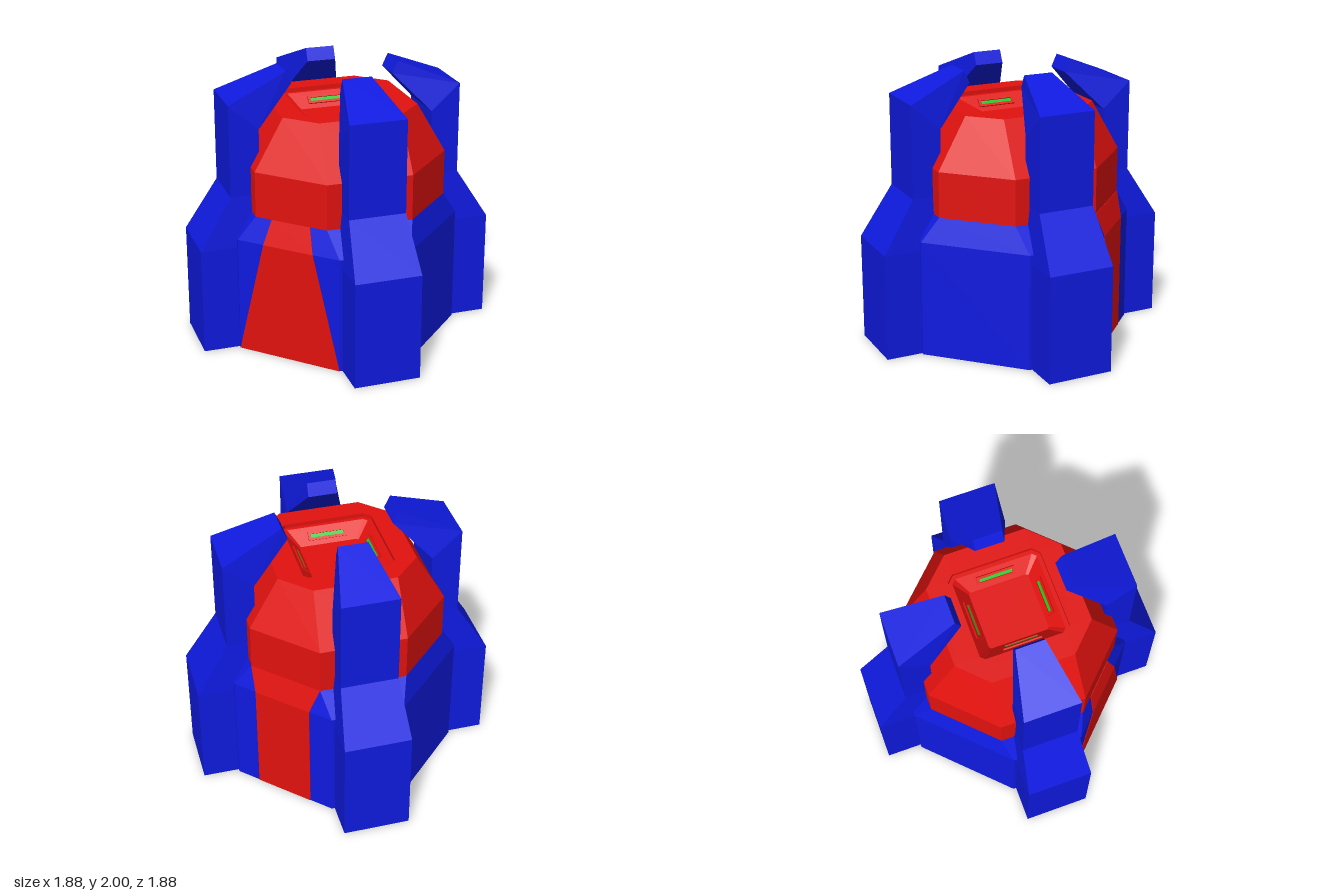
import * as THREE from 'three';

const mat = (color) => new THREE.MeshStandardMaterial({ color, flatShading: true, side: THREE.DoubleSide });
const blue = mat(0x0f1ae0), red = mat(0xe3120f), green = mat(0x18c818);

// Skin a stack of cross-sections, each a loop of [x, y, z] running from +x towards +z
function loft(rings, capBottom, capTop) {
  const pos = [];
  const tri = (a, b, c) => pos.push(...a, ...b, ...c);
  const n = rings[0].length;
  for (let k = 0; k < rings.length - 1; k++) {
    const a = rings[k], b = rings[k + 1];
    for (let i = 0; i < n; i++) {
      const j = (i + 1) % n;
      tri(a[i], b[i], b[j]);
      tri(a[i], b[j], a[j]);
    }
  }
  const first = rings[0], last = rings[rings.length - 1];
  for (let i = 1; i < n - 1; i++) {
    if (capBottom) tri(first[0], first[i], first[i + 1]);
    if (capTop) tri(last[0], last[i + 1], last[i]);
  }
  const geo = new THREE.BufferGeometry();
  geo.setAttribute('position', new THREE.Float32BufferAttribute(pos, 3));
  geo.computeVertexNormals();
  return geo;
}

// Eight-sided section: flats at distance a, each flat of half-width c
const octagon = ([c, a, y]) =>
  [[a, c], [c, a], [-c, a], [-a, c], [-a, -c], [-c, -a], [c, -a], [a, -c]].map(([x, z]) => [x, y, z]);

function add(parent, name, geo, material) {
  const mesh = new THREE.Mesh(geo, material);
  mesh.name = name;
  parent.add(mesh);
  return mesh;
}

// Thin panel lying on one body face; rows are [halfWidth, y, z]
function panel(rows) {
  const rings = rows.map(([w, y, z]) => [[w, y, z - 0.01], [w, y, z + 0.004], [-w, y, z + 0.004], [-w, y, z - 0.01]]);
  return loft(rings, true, true);
}

export function createModel() {
  const model = new THREE.Group();
  model.name = 'model';

  // Lower body: open skirt with a recessed floor
  add(model, 'lowerBody', loft([[0.4, 0.77, 0], [0.4, 0.77, 0.85], [0.28, 0.72, 1.03]].map(octagon)), blue);
  add(model, 'recessedFloor', loft([[0.4, 0.765, 0.18], [0.4, 0.765, 0.2]].map(octagon), true, true), blue);

  // Upper body: sloped shoulders, flat top and a diamond-shaped basin
  add(model, 'upperBody', loft([
    [0.28, 0.72, 1.03], [0.28, 0.72, 1.36], [0.14, 0.56, 1.73],
    [0.035, 0.445, 1.73], [0.035, 0.445, 1.7], [0.02, 0.42, 1.7], [0.01, 0.3, 1.6],
  ].map(octagon), false, true), red);

  // Coloured panels on the front and back faces
  add(model, 'frontPanel', panel([[0.4, 0, 0.77], [0.194, 0.85, 0.77], [0.15, 1.03, 0.72]]), red);
  add(model, 'backPanel', panel([[0.22, 0, 0.77], [0.22, 0.85, 0.77], [0.28, 1.03, 0.72]]), red).rotation.y = Math.PI;

  // Corner pillar: [outer radius, outer y, inner radius, inner y, outer half-width, inner half-width]
  const pillarGeo = loft([
    [1.09, 0, 0.54, 0, 0.24, 0.24],
    [1.09, 0.78, 0.6, 0.78, 0.24, 0.24],
    [0.856, 1.15, 0.643, 1.15, 0.205, 0.205],
    [0.856, 1.82, 0.643, 1.63, 0.205, 0.205],
    [0.417, 2, 0.375, 1.91, 0.106, 0.106],
  ].map(([ro, yo, ri, yi, wo, wi]) => [[wi, yi, ri], [wo, yo, ro], [-wo, yo, ro], [-wi, yi, ri]]), true, true);

  // Slot frame for the basin walls
  const frame = new THREE.Shape([[-0.14, -0.032], [0.14, -0.032], [0.14, 0.032], [-0.14, 0.032]].map((p) => new THREE.Vector2(...p)));
  frame.holes.push(new THREE.Path([[-0.12, -0.014], [-0.12, 0.014], [0.12, 0.014], [0.12, -0.014]].map((p) => new THREE.Vector2(...p))));
  const frameGeo = new THREE.ExtrudeGeometry(frame, { depth: 0.012, bevelEnabled: false });

  for (let i = 0; i < 4; i++) {
    const corner = new THREE.Group();
    corner.name = 'corner';
    corner.rotation.y = Math.PI / 4 + i * Math.PI / 2;
    model.add(corner);
    add(corner, 'pillar', pillarGeo, blue);

    // Slot with a light strip, lying on the sloped basin wall
    const slot = new THREE.Group();
    slot.name = 'slot';
    slot.position.set(0, 1.65, 0.265);
    slot.rotation.x = -Math.PI / 2 - 0.84;
    corner.add(slot);
    add(slot, 'slotFrame', frameGeo, red);
    add(slot, 'lightStrip', new THREE.BoxGeometry(0.24, 0.026, 0.012), green);
  }
  return model;
}
